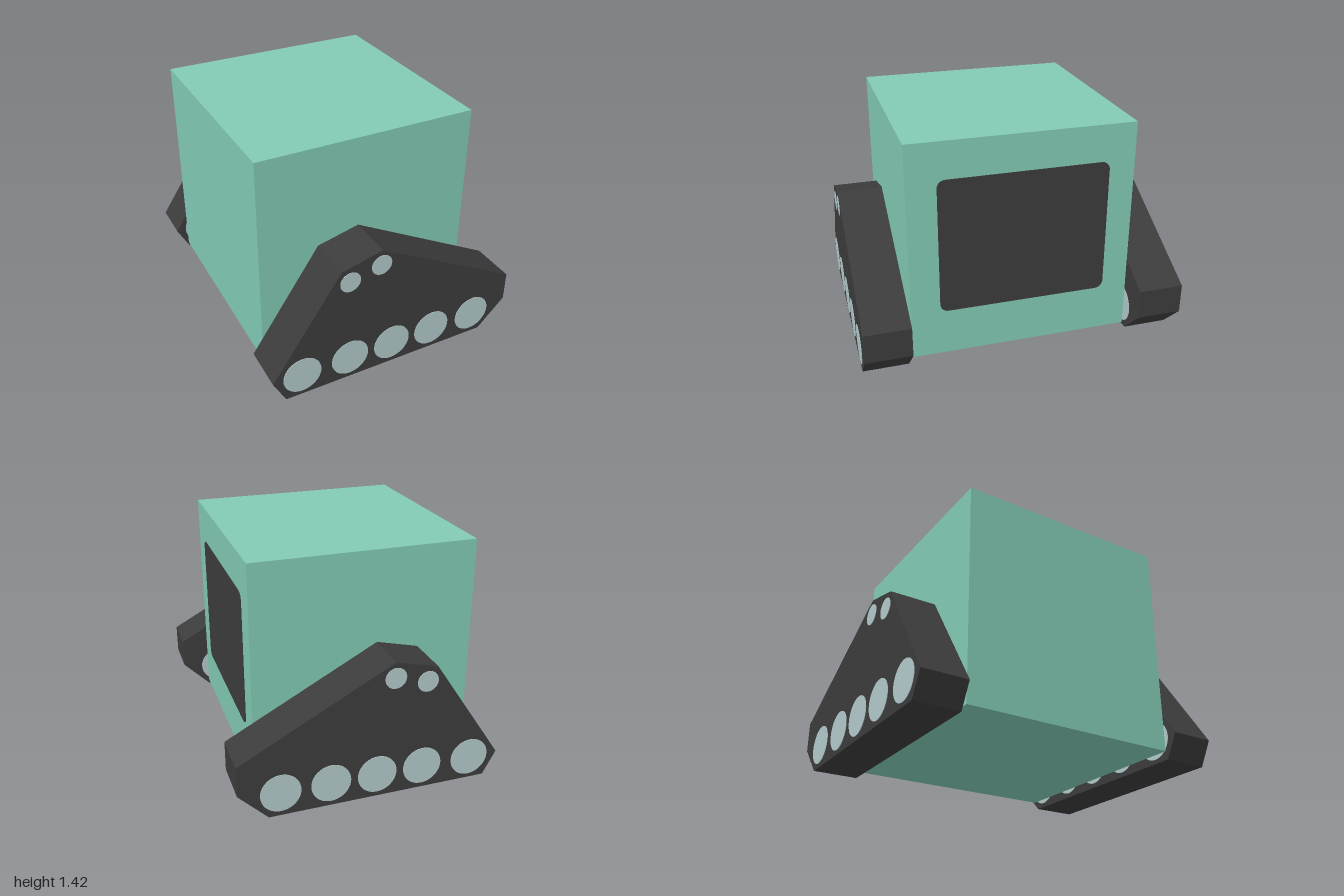
import * as THREE from 'three';

export function createModel() {
  const material = (name, color) => {
    const m = new THREE.MeshStandardMaterial({ color });
    m.name = name;
    return m;
  };
  const green = material('mint green', 0x82cab5);
  const charcoal = material('charcoal', 0x3c3c3c);
  const grey = material('pale blue grey', 0xb2c9ca);

  const model = new THREE.Group();
  model.name = 'trackedRobot';
  const add = (parent, name, geometry, mat, x = 0, y = 0, z = 0) => {
    const mesh = new THREE.Mesh(geometry, mat);
    mesh.name = name;
    mesh.position.set(x, y, z);
    parent.add(mesh);
    return mesh;
  };

  // Box body
  add(model, 'body', new THREE.BoxGeometry(1.375, 1.375, 1.38), green, -0.052, 0.7325, 0);

  // Rounded screen plate on the +x side
  const w = 0.52, h = 0.425, r = 0.05;
  const screen = new THREE.Shape();
  screen.moveTo(-w + r, -h);
  screen.absarc(w - r, -h + r, r, -Math.PI / 2, 0);
  screen.absarc(w - r, h - r, r, 0, Math.PI / 2);
  screen.absarc(-w + r, h - r, r, Math.PI / 2, Math.PI);
  screen.absarc(-w + r, -h + r, r, Math.PI, Math.PI * 1.5);
  const screenGeometry = new THREE.ExtrudeGeometry(screen, { depth: 0.005, bevelEnabled: false, curveSegments: 8 });
  add(model, 'screen', screenGeometry, charcoal, 0.635, 0.765, -0.01).rotation.y = Math.PI / 2;

  // Angular track block, shared by both sides
  const outline = [[-0.81, 0.15], [-0.73, 0], [0.63, 0], [0.808, 0.18], [0.808, 0.367], [-0.12, 0.862], [-0.38, 0.797]];
  const inner = 0.714, outer = 0.997;
  const trackGeometry = new THREE.ExtrudeGeometry(
    new THREE.Shape(outline.map(([x, y]) => new THREE.Vector2(x, y))),
    { depth: outer - inner, bevelEnabled: false });
  trackGeometry.translate(0, 0, -(outer - inner) / 2);

  // Wheel discs: x, y, radius
  const wheels = [
    [-0.625, 0.147, 0.121], [-0.313, 0.15, 0.121], [-0.028, 0.15, 0.121], [0.256, 0.15, 0.121], [0.557, 0.15, 0.121],
    [-0.322, 0.711, 0.065], [-0.123, 0.763, 0.065],
  ];

  for (const side of [1, -1]) {
    const track = new THREE.Group();
    track.name = side > 0 ? 'frontTrack' : 'backTrack';
    track.position.z = side * (inner + outer) / 2;
    add(track, 'trackBlock', trackGeometry, charcoal);
    // Thin discs on the inner and outer faces
    for (const [x, y, radius] of wheels) {
      for (const face of [1, -1]) {
        const disc = new THREE.CylinderGeometry(radius, radius, 0.004, 40).rotateX(Math.PI / 2);
        add(track, radius > 0.1 ? 'roadWheel' : 'upperRoller', disc, grey, x, y, face * ((outer - inner) / 2 + 0.001));
      }
    }
    model.add(track);
  }
  return model;
}
